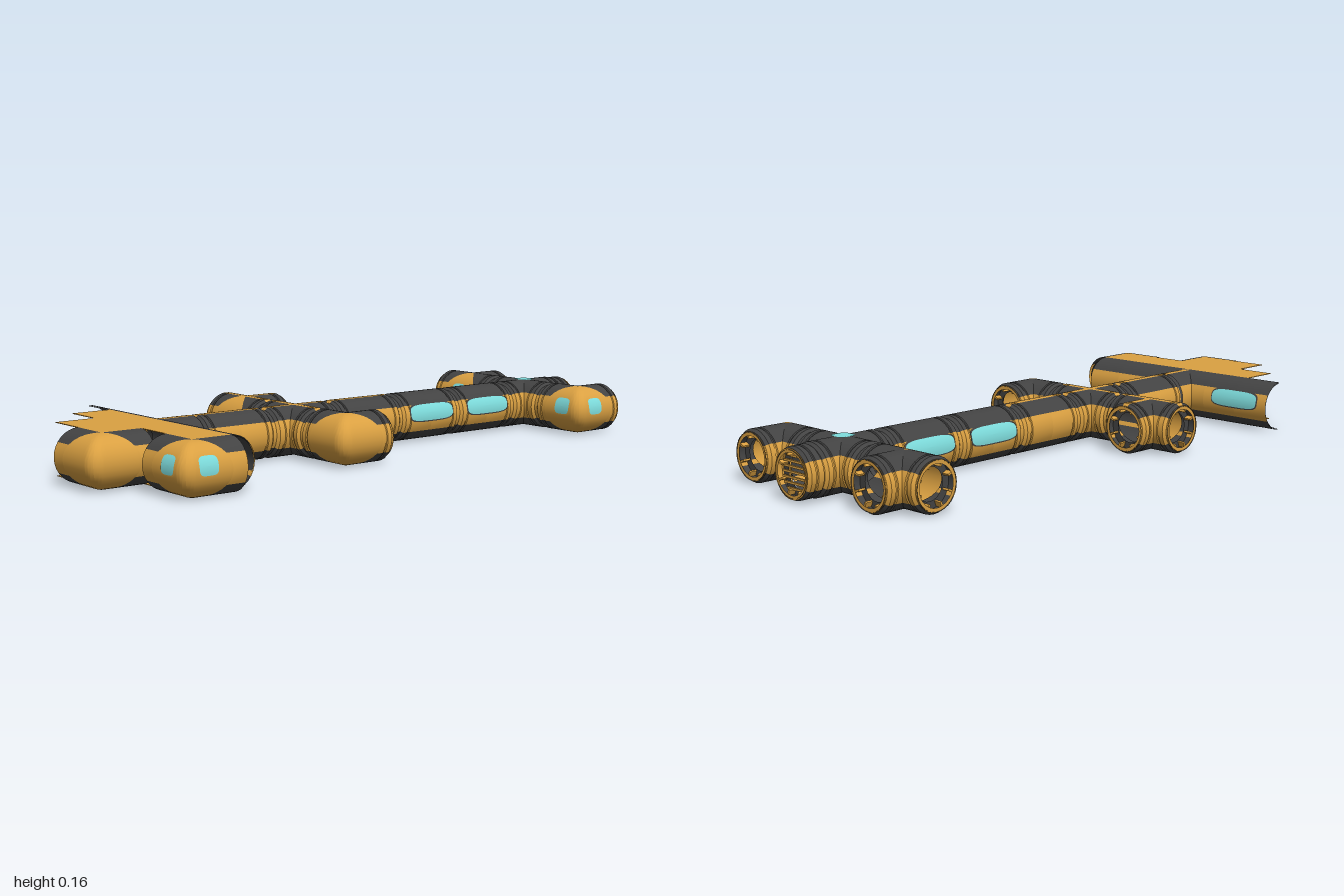
import * as THREE from 'three';
import { toCreasedNormals } from 'three/addons/utils/BufferGeometryUtils.js';

const R = 0.077, Y = 0.078, L = 0.1245; // tube radius, axis height, half module
const SPINE = -0.04, BACK = -0.82, MID = BACK + 8 * L, HALL = MID + 4 * L;
const mat = (color) => new THREE.MeshStandardMaterial({ color, side: THREE.DoubleSide });
const gold = mat(0xdba142), dark = mat(0x434343), glass = mat(0x7fdede);

// Angles round a tube, 0 = side, 90 = top, with extra cuts for the top stripe
const angles = [82, 98];
for (let i = 0; i <= 32; i++) angles.push(-90 + i * 11.25);
angles.sort((a, b) => a - b);
const rad = angles.map((a) => (a * Math.PI) / 180);

function place(obj, name, parent, x, z, rotY) {
  obj.name = name;
  obj.position.set(x, Y, z);
  obj.rotation.y = rotY;
  parent.add(obj);
  return obj;
}

// Skin over angle and row, split into gold and dark meshes
function skin(rows, point, isGold, keep) {
  const pos = { gold: [], dark: [] };
  for (let i = 0; i < rad.length - 1; i++) {
    const a = rad[i], b = rad[i + 1], m = (a + b) / 2;
    if (!keep(m)) continue;
    for (let j = 0; j < rows - 1; j++) {
      const [p, q, r, s] = [point(a, j), point(a, j + 1), point(b, j + 1), point(b, j)];
      pos[isGold(m, j) ? 'gold' : 'dark'].push(...p, ...q, ...r, ...p, ...r, ...s);
    }
  }
  const group = new THREE.Group();
  for (const [key, list] of Object.entries(pos)) {
    if (!list.length) continue;
    const g = new THREE.BufferGeometry();
    g.setAttribute('position', new THREE.Float32BufferAttribute(list, 3));
    const mesh = new THREE.Mesh(toCreasedNormals(g, 0.55), key === 'gold' ? gold : dark);
    mesh.name = key + 'Panels';
    group.add(mesh);
  }
  return group;
}

// One tube leg pointing in direction k (0 +x, 1 -z, 2 -x, 3 +z)
function leg(parent, x, z, k, { mitre = true, keep = null, stripe = false, len = L, r = R, lining = false } = {}) {
  const th = (k * Math.PI) / 2;
  const side = keep ? Math.sin(th) * keep[0] + Math.cos(th) * keep[1] : 0;
  const rings = keep || lining ? [[len, r]] : [
    [len, r - 0.008], [len - 0.006, r - 0.008], [len - 0.014, r],
    [len - 0.029, r], [len - 0.031, r - 0.003], [len - 0.035, r - 0.003], [len - 0.037, r]];
  rings.push([0, r]);
  rings.reverse();
  const point = (t, j) => {
    const [d, rr] = rings[j], u = rr * Math.cos(t);
    return [mitre ? Math.max(d, Math.abs(u)) : d, rr * Math.sin(t), u];
  };
  const isGold = (t) => {
    const s = Math.sin(t);
    if (lining) return s < -0.4 && s > -0.55;
    return Math.abs(s) < 0.555 || (stripe && s > 0.988);
  };
  place(skin(rings.length, point, isGold, (t) => Math.cos(t) * side > -1e-6),
    lining ? 'tubeLining' : 'tubeLeg', parent, x, z, th);
}

// Gold panel closing a junction on side k, rounded where it meets another closed side
function closure(parent, x, z, k, closed) {
  const n = 33;
  const point = (t, j) => {
    const u = Math.abs(R * Math.cos(t)), f = (j / (n - 1)) * 2 - 1, sgn = Math.sign(f);
    const round = 0.5 * u, d = Math.abs(f) * u;
    if (closed[(k + (sgn > 0 ? 1 : 3)) % 4] && d > u - round && u > 1e-5) {
      const a = ((d - u + round) / round) * Math.PI / 4;
      return [sgn * (u - round + round * Math.sin(a)), R * Math.sin(t), u - round + round * Math.cos(a)];
    }
    return [sgn * d, R * Math.sin(t), u];
  };
  place(skin(n, point, () => true, (t) => Math.cos(t) > 0), 'cornerPanel', parent, x, z, ((k + 1) * Math.PI) / 2);
}

// Elbow, tee or cross with open directions dirs
function junction(parent, name, x, z, dirs, { keep = null, stripes = [] } = {}) {
  const group = new THREE.Group();
  group.name = name;
  parent.add(group);
  const closed = [0, 1, 2, 3].map((k) => !dirs.includes(k));
  for (const k of dirs) {
    leg(group, x, z, k, { keep, stripe: stripes.includes(k) });
    leg(group, x, z, k, { keep, r: R - 0.009, lining: true });
  }
  closed.forEach((c, k) => {
    const dot = keep ? Math.cos(k * Math.PI / 2) * keep[0] - Math.sin(k * Math.PI / 2) * keep[1] : 1;
    if (c && dot > 0) closure(group, x, z, k, closed);
  });
}

// Rounded pane following the tube wall that faces direction k
function pane(parent, name, x, z, k, a, b, lift, material) {
  const g = new THREE.RingGeometry(0.001, 1, 40, 5), p = g.attributes.position;
  for (let i = 0; i < p.count; i++) {
    const px = p.getX(i), py = p.getY(i), len = Math.hypot(px, py);
    const q = ((px / len) ** 4 + (py / len) ** 4) ** -0.25;
    const h = 0.017 + py * q * b;
    p.setXYZ(i, Math.sign(px) * Math.max(0, Math.abs(px * q) * a), h, Math.sqrt(R * R - h * h) + lift);
  }
  g.computeVertexNormals();
  place(new THREE.Mesh(g, material), name, parent, x, z, ((k + 1) * Math.PI) / 2);
}
function porthole(parent, x, z, k, a = 0.03) {
  pane(parent, 'windowFrame', x, z, k, a + 0.004, 0.03, 0.001, a > 0.05 ? dark : gold);
  pane(parent, 'window', x, z, k, a, 0.026, 0.0025, glass);
}

// Recessed docking ring with ribs at an open tube end
function hatch(parent, x, z, k, slats = false) {
  const group = place(new THREE.Group(), 'dockingHatch', parent, x, z, ((k + 1) * Math.PI) / 2);
  const add = (geo, m, name) => {
    const mesh = new THREE.Mesh(geo, m);
    mesh.name = name;
    group.add(mesh);
    return mesh;
  };
  add(new THREE.RingGeometry(0.058, 0.07, 32), gold, 'hatchRim').position.z = -0.002;
  add(new THREE.RingGeometry(0.046, 0.069, 32), dark, 'innerRing').position.z = -0.03;
  for (let i = 0; i < 8; i++) {
    const a = (i * Math.PI) / 4 + Math.PI / 8;
    const rib = add(new THREE.BoxGeometry(0.016, 0.006, 0.022), gold, 'rib');
    rib.position.set(Math.cos(a) * 0.058, Math.sin(a) * 0.058, -0.018);
    rib.rotation.z = a;
  }
  for (let i = -3; slats && i <= 3; i++) {
    const w = 2 * Math.sqrt(0.06 ** 2 - (i * 0.015) ** 2);
    add(new THREE.BoxGeometry(w, 0.006, 0.006), gold, 'slat').position.set(0, i * 0.015, -0.02);
  }
}

export function createModel() {
  const model = new THREE.Group();
  model.name = 'modularStation';

  // Two cross rows, each with a tee on one side and an elbow on the other
  for (const z of [BACK, MID]) {
    const striped = z === MID, xt = SPINE - 2 * L, xe = SPINE + 2 * L;
    junction(model, 'crossJunction', SPINE, z, [0, 1, 2, 3], { stripes: striped ? [0, 1, 2, 3] : [] });
    junction(model, 'teeJunction', xt, z, [0, 1, 2], { stripes: striped ? [0, 1, 2] : [] });
    junction(model, 'elbowJunction', xe, z, [1, 2]);
    hatch(model, xt, z - L, 1);
    hatch(model, xt - L, z, 2);
    hatch(model, xe, z - L, 1);
  }
  for (const k of [0, 3]) porthole(model, SPINE + 2 * L, BACK, k);
  porthole(model, SPINE - 2 * L, BACK, 3);

  // Roof window on the rear cross
  const roof = new THREE.Shape();
  roof.absellipse(0, 0, 0.03, 0.03, 0, Math.PI * 2);
  const roofGeo = new THREE.ShapeGeometry(roof, 12), rp = roofGeo.attributes.position;
  for (let i = 0; i < rp.count; i++) {
    const c = rp.getX(i) / 0.03, s = rp.getY(i) / 0.03, q = (c ** 4 + s ** 4) ** -0.25;
    rp.setXYZ(i, c * q * 0.028, 0.0785, -s * q * 0.028);
  }
  roofGeo.computeVertexNormals();
  place(new THREE.Mesh(roofGeo, glass), 'roofWindow', model, SPINE, BACK, 0);

  // Rear docking adapter
  leg(model, SPINE, BACK - L, 1, { mitre: false, len: 0.055, r: 0.074 });
  hatch(model, SPINE, -1 + 0.001, 1, true);

  // Straight corridors of the spine
  [2, 4, 6, 10].forEach((n) => {
    const z = BACK + n * L;
    for (const k of [1, 3]) leg(model, SPINE, z, k, { mitre: false, stripe: n > 5 });
    if (n < 5) for (const k of [0, 2]) porthole(model, SPINE, z, k, 0.09);
  });

  // Hall: half-tube rear wall, opening to the spine in the middle
  const wall = [0, -1];
  junction(model, 'hallEntrance', SPINE, HALL, [0, 1, 2], { keep: wall, stripes: [1] });
  for (const x of [SPINE - 2 * L, SPINE + 2 * L])
    for (const k of [0, 2]) {
      leg(model, x, HALL, k, { mitre: false, keep: wall });
      leg(model, x, HALL, k, { mitre: false, keep: wall, r: R - 0.003, lining: true });
    }
  porthole(model, SPINE - 2 * L, HALL, 1, 0.088);
  pane(model, 'innerWindowFrame', SPINE - 2 * L, HALL, 1, 0.092, 0.028, -0.004, gold);
  pane(model, 'innerWindow', SPINE - 2 * L, HALL, 1, 0.086, 0.024, -0.0055, glass);
  const ring = new THREE.Mesh(new THREE.TorusGeometry(0.069, 0.005, 8, 32), gold);
  place(ring, 'entranceRing', model, SPINE, HALL - 0.085, 0);

  // Hall corners: the outer halves of two elbows
  const corners = [[SPINE + 3 * L, HALL + L], [SPINE + L, HALL + 2 * L]];
  for (const [x, z] of corners) junction(model, 'hallCorner', x, z, [1, 2], { keep: [1, 1] });
  for (const k of [0, 3]) porthole(model, ...corners[0], k);

  // Stepped hall floor and ceiling
  const steps = [[SPINE - 2 * L, SPINE + 3 * L], [SPINE - L, SPINE + L]];
  steps.forEach(([x0, x1], i) => {
    for (const s of [-1, 1]) {
      const slab = new THREE.Mesh(new THREE.BoxGeometry(x1 - x0, 0.002, L), gold);
      place(slab, s > 0 ? 'hallCeiling' : 'hallFloor', model, (x0 + x1) / 2, HALL + (i + 0.5) * L, 0);
      slab.position.y += s * (R - 0.001);
    }
  });
  return model;
}
